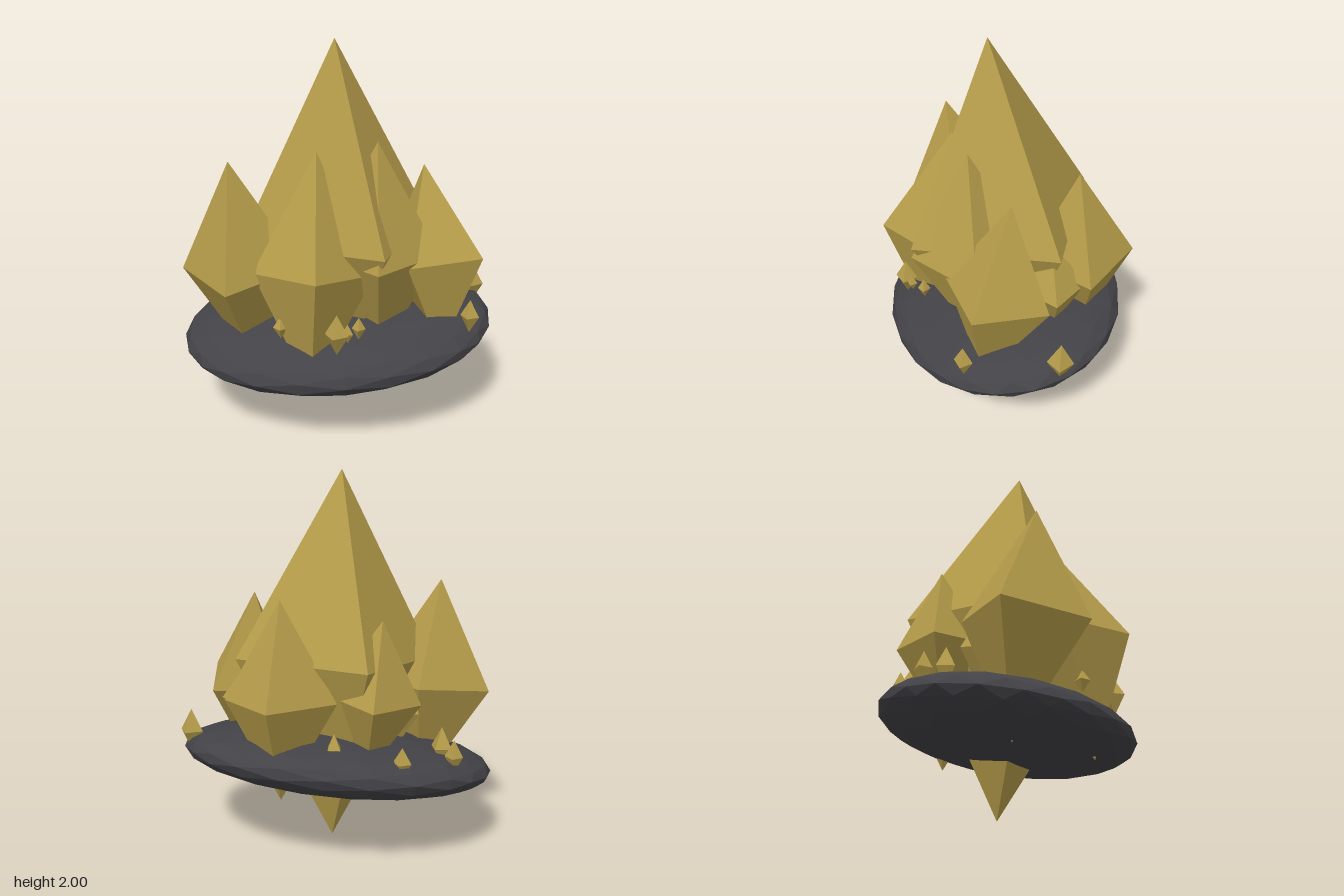
import * as THREE from 'three';

const gold = new THREE.MeshStandardMaterial({ color: 0xb59c4a, flatShading: true });
gold.name = 'gold crystal';
const stone = new THREE.MeshStandardMaterial({ color: 0x424247, flatShading: true });
stone.name = 'dark stone';

// Four-sided double pyramid from its centre, its top point and the (x, z) of one waist corner.
function crystal(name, center, apex, corner) {
  const c = new THREE.Vector3(...center);
  const up = new THREE.Vector3(...apex).sub(c);
  const dx = corner[0] - c.x, dz = corner[1] - c.z;
  // The waist is square to the axis
  const side = new THREE.Vector3(dx, -(up.x * dx + up.z * dz) / up.y, dz);
  const other = side.clone().cross(up).setLength(side.length());
  const geometry = new THREE.OctahedronGeometry(1, 0);
  geometry.applyMatrix4(new THREE.Matrix4().makeBasis(side, up, other).setPosition(c));
  geometry.computeVertexNormals();
  const mesh = new THREE.Mesh(geometry, gold);
  mesh.name = name;
  return mesh;
}

export function createModel() {
  const model = new THREE.Group();
  model.name = 'crystalCluster';

  // Tilted, flattened stone base
  const base = new THREE.Mesh(new THREE.IcosahedronGeometry(1, 3).scale(0.85, 0.178, 0.655), stone);
  base.name = 'stoneBase';
  base.position.y = 0.45;
  base.rotation.set(0.135, 0, 0.074);
  model.add(base);

  // Tall central crystal, its lower point coming out under the base
  model.add(crystal('mainCrystal', [0, 1, 0.005], [-0.02, 2, 0.07], [0.2, 0.52]));

  // Ring of large crystals
  const large = [
    [[-0.51, 0.83, 0.15], [-0.56, 1.41, 0.22], [-0.83, 0.08]],
    [[-0.14, 0.85, 0.34], [-0.12, 1.46, 0.24], [-0.14, 0.645]],
    [[0.2, 0.9, 0.2], [0.19, 1.5, 0.21], [0.17, 0.52]],
    [[0.5, 0.85, 0.13], [0.455, 1.35, 0.045], [0.735, 0.29]],
    [[0.25, 0.845, -0.37], [0.25, 1.36, -0.345], [0.27, -0.66]],
    [[-0.22, 0.85, -0.31], [-0.26, 1.26, -0.32], [-0.23, -0.55]],
    [[0.42, 0.8, -0.18], [0.41, 1.06, -0.17], [0.6, -0.16]],
    [[-0.33, 0.75, -0.06], [-0.35, 1.0, -0.06], [-0.45, -0.17]],
  ];
  large.forEach((p, i) => model.add(crystal('largeCrystal' + (i + 1), ...p)));

  // Tiny crystals: x, y, z, half height, radius, turn
  const tiny = [
    [0.78, 0.61, -0.14, 0.12, 0.068, 0.3],
    [0.67, 0.6, 0.33, 0.09, 0.05, 0.5],
    [-0.035, 0.605, 0.545, 0.105, 0.062, 0.4],
    [-0.63, 0.56, -0.3, 0.09, 0.047, 0.2],
    [-0.57, 0.58, -0.21, 0.11, 0.062, 0.6],
    [-0.37, 0.58, -0.48, 0.08, 0.048, 0.3],
    [-0.03, 0.63, -0.44, 0.08, 0.045, 0.7],
    [0.08, 0.6, 0.46, 0.06, 0.035, 0.2],
    [0.02, 0.6, 0.52, 0.05, 0.03, 0.5],
    [-0.31, 0.59, 0.4, 0.06, 0.04, 0.1],
  ];
  tiny.forEach(([x, y, z, h, r, t], i) => model.add(crystal('tinyCrystal' + (i + 1),
    [x, y, z], [x, y + h, z], [x + r * Math.cos(t), z + r * Math.sin(t)])));

  return model;
}
